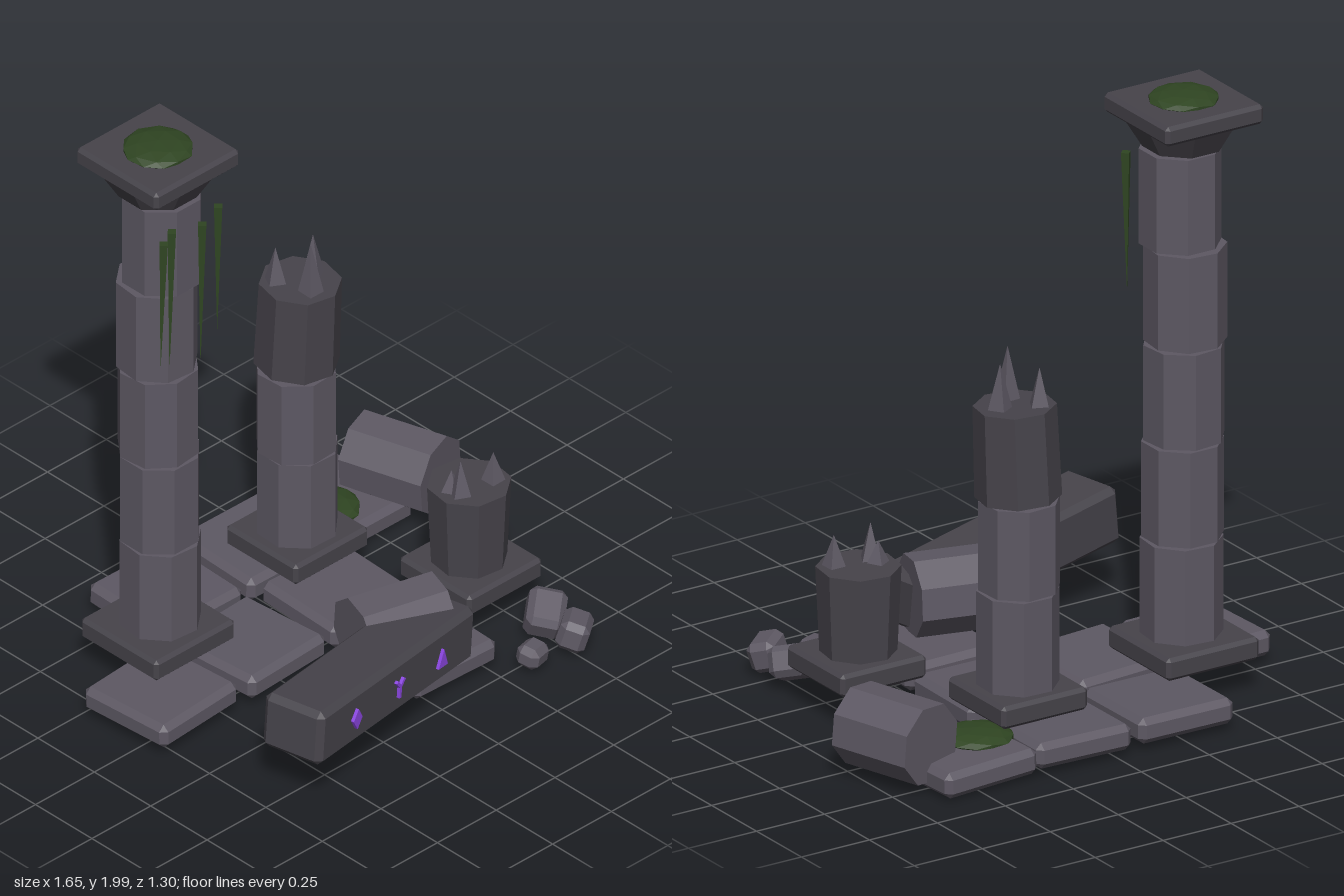
import * as THREE from 'three';
import { ConvexGeometry } from 'three/addons/geometries/ConvexGeometry.js';

const mat = (color) => new THREE.MeshStandardMaterial({ color, flatShading: true });
const stone = mat(0x5d5863), darkStone = mat(0x46434a), moss = mat(0x2f4522), rune = mat(0x8a45e0);

// Box with chamfered edges: three inset points at each corner
function chamferBox(w, h, d, b) {
  const pts = [];
  for (const sx of [-1, 1]) for (const sy of [-1, 1]) for (const sz of [-1, 1]) {
    const x = w / 2, y = h / 2, z = d / 2;
    pts.push(
      new THREE.Vector3(sx * x, sy * (y - b), sz * (z - b)),
      new THREE.Vector3(sx * (x - b), sy * y, sz * (z - b)),
      new THREE.Vector3(sx * (x - b), sy * (y - b), sz * z));
  }
  return new ConvexGeometry(pts);
}

function add(parent, name, geo, material, pos, rot = [0, 0, 0]) {
  const m = new THREE.Mesh(geo, material);
  m.name = name;
  m.position.set(...pos);
  m.rotation.set(...rot);
  parent.add(m);
  return m;
}

const drumGeo = (h, top = 0.13, bottom = 0.13) => new THREE.CylinderGeometry(top, bottom, h, 8);

// Flattened faceted clump
function mossClump(parent, x, y, z, r, h) {
  const m = add(parent, 'moss', new THREE.IcosahedronGeometry(1, 1), moss, [x, y, z], [0, 0.4, 0]);
  m.scale.set(r, h, r);
}

// Broken shards standing on a drum: [x, z, tip height]
function shards(parent, baseY, list) {
  list.forEach(([x, z, tip], i) => {
    const h = tip - baseY;
    add(parent, 'shard', new THREE.ConeGeometry(0.042, h, 4), stone, [x, baseY + h / 2, z], [0, i * 0.5 + 0.3, 0]);
  });
}

function plinth(parent, x, z, size) {
  add(parent, 'plinth', chamferBox(size, 0.075, size, 0.012), darkStone, [x, 0.165, z]);
}

export function createModel() {
  const root = new THREE.Group();
  root.name = 'ruinedColumns';
  const group = (name) => {
    const g = new THREE.Group();
    g.name = name;
    root.add(g);
    return g;
  };

  // Paving slabs: x, y, z, tilt x, yaw, tilt z
  const floor = group('floor');
  const slab = chamferBox(0.345, 0.085, 0.345, 0.02);
  [
    [-0.255, 0.075, -0.46, 0.02, -0.015, 0],
    [0.12, 0.075, -0.46, 0.02, -0.02, 0.01],
    [0.47, 0.063, -0.462, 0.02, 0.03, -0.035],
    [-0.64, 0.083, -0.08, -0.01, 0.06, 0.01],
    [-0.265, 0.08, -0.08, -0.02, 0.06, -0.01],
    [0.125, 0.08, -0.09, 0.01, -0.03, -0.01],
    [0.11, 0.083, 0.285, 0.01, -0.02, -0.02],
  ].forEach(([x, y, z, rx, ry, rz]) => add(floor, 'slab', slab, stone, [x, y, z], [rx, ry, rz]));
  mossClump(floor, 0.39, 0.11, -0.43, 0.115, 0.03);

  // Tall complete column
  const tall = group('tallColumn');
  const tx = -0.48, tz = -0.26;
  plinth(tall, tx, tz, 0.34);
  const jitter = [0.005, 0.003, 0, -0.003, 0.008];
  jitter.forEach((dx, i) =>
    add(tall, 'drum', drumGeo(0.315), stone, [tx + dx, 0.362 + i * 0.3235, tz + dx], [0, Math.PI / 8 + (i % 3 - 1) * 0.1, 0]));
  add(tall, 'flaredCapital', drumGeo(0.085, 0.182, 0.13), darkStone, [tx, 1.865, tz], [0, Math.PI / 8, 0]);
  add(tall, 'capitalSlab', chamferBox(0.36, 0.065, 0.36, 0.012), darkStone, [tx, 1.938, tz]);
  mossClump(tall, tx, 1.972, tz, 0.113, 0.028);

  // Hanging vines: x, z, length, tilt z
  [
    [-0.63, -0.085, 0.47, 0.03],
    [-0.565, -0.115, 0.52, 0.02],
    [-0.468, -0.08, 0.53, 0.015],
    [-0.365, -0.115, 0.47, 0.01],
  ].forEach(([x, z, len, tilt]) =>
    add(tall, 'vine', new THREE.ConeGeometry(0.018, len, 4), moss, [x, 1.77 - len / 2, z], [Math.PI, 0, tilt]));

  // Middle broken column
  const mid = group('brokenColumn');
  const mx = 0.17, mz = -0.32;
  plinth(mid, mx, mz, 0.315);
  add(mid, 'drum', drumGeo(0.31), stone, [mx, 0.357, mz], [0, 0.35, 0]);
  add(mid, 'drum', drumGeo(0.295), stone, [mx - 0.005, 0.665, mz], [0, 0.45, 0]);
  add(mid, 'brokenDrum', drumGeo(0.3, 0.13, 0.135), darkStone, [mx + 0.005, 0.972, mz], [0.04, 0.2, -0.02]);
  shards(mid, 1.11, [[0.12, -0.365, 1.25], [0.165, -0.255, 1.295], [0.232, -0.315, 1.27]]);

  // Short stump
  const stump = group('stump');
  plinth(stump, 0.44, 0.168, 0.315);
  add(stump, 'brokenDrum', drumGeo(0.285, 0.133, 0.12), darkStone, [0.436, 0.34, 0.165], [0, 0.25, 0]);
  shards(stump, 0.47, [[0.375, 0.19, 0.605], [0.5, 0.205, 0.585], [0.37, 0.155, 0.555]]);

  // Toppled drums, lying on their sides
  const fallen = group('fallenDrums');
  [[0.665, 0.165, -0.383, 0.295, 0.29], [-0.02, 0.248, 0.315, Math.PI / 2 - 0.26, 0.295]].forEach(([x, y, z, yaw, len]) => {
    const holder = new THREE.Group();
    holder.name = 'fallenDrum';
    holder.position.set(x, y, z);
    holder.rotation.y = yaw;
    fallen.add(holder);
    add(holder, 'drum', drumGeo(len, 0.132, 0.132), stone, [0, 0, 0], [Math.PI / 2, Math.PI / 8 + 0.1, 0]);
  });

  // Fallen lintel with raised symbols on its front face
  const lintel = group('lintel');
  lintel.position.set(-0.28, 0.258, 0.465);
  lintel.rotation.set(0, 0.21, -0.095);
  add(lintel, 'beam', chamferBox(0.85, 0.19, 0.22, 0.02), darkStone, [0, 0, 0]);
  const symbol = (pts) => new THREE.ExtrudeGeometry(
    new THREE.Shape(pts.map(([x, y]) => new THREE.Vector2(x, y))), { depth: 0.014, bevelEnabled: false });
  [
    [[0, -0.036], [0.024, 0], [0, 0.036], [-0.024, 0]],
    [[-0.005, -0.033], [0.005, -0.033], [0.005, 0.004], [0.025, 0.027], [0.016, 0.033], [0, 0.014],
      [-0.016, 0.033], [-0.025, 0.027], [-0.005, 0.004]],
    [[-0.025, -0.03], [0.025, -0.03], [0, 0.032]],
  ].forEach((pts, i) => add(lintel, 'carvedSymbol', symbol(pts), rune, [(i - 1) * 0.235, 0, 0.107]));

  // Loose rubble: x, y, z, size, rotation
  const rubble = group('rubble');
  [
    [0.51, 0.09, 0.425, [0.14, 0.1, 0.12], [0.3, 0.75, 0.25]],
    [0.515, 0.085, 0.55, [0.13, 0.1, 0.095], [0.35, 0.6, -0.3]],
    [0.355, 0.065, 0.53, [0.095, 0.075, 0.08], [0.15, 0.25, -0.1]],
  ].forEach(([x, y, z, s, r]) => add(rubble, 'rock', chamferBox(...s, 0.02), stone, [x, y, z], r));

  return root;
}
